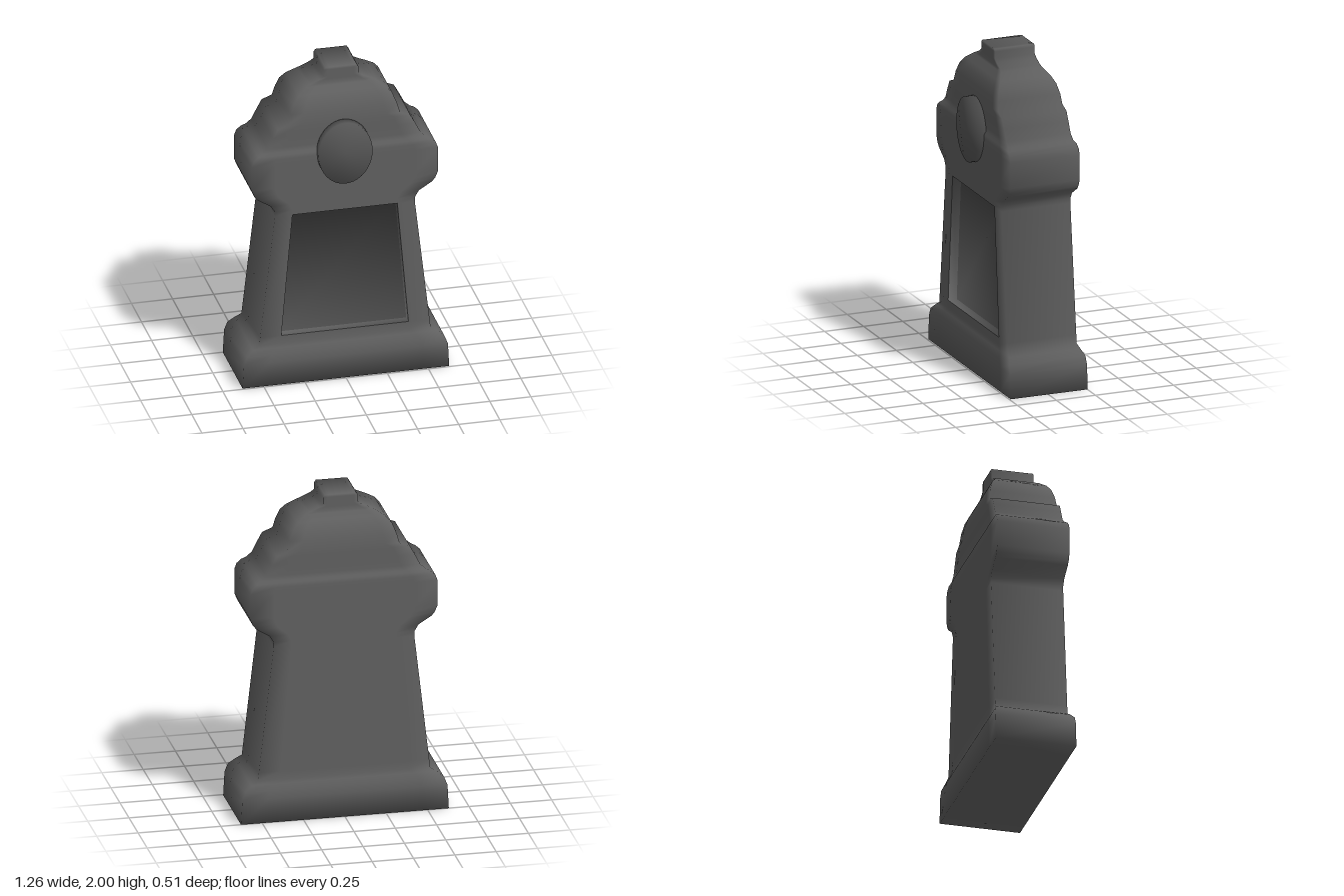
import * as THREE from 'three';
import { mergeVertices } from 'three/addons/utils/BufferGeometryUtils.js';

const INNER = 0.75;        // niche width as a share of the body width
const Z_SHIFT = -0.005;    // body sits slightly behind the medallion
const NICHE_LOW = 0.31, NICHE_HIGH = 1.1, NICHE_DEPTH = 0.055;

// Rectangular cross-sections: height, half width, half depth
const sections = [
  [0, 0.628, 0.246], [0.15, 0.62, 0.246], [0.2, 0.6, 0.244], [0.235, 0.56, 0.228],
  [0.258, 0.521, 0.221], [NICHE_LOW, 0.515, 0.221], [NICHE_HIGH, 0.425, 0.221],
  [1.13, 0.426, 0.221], [1.17, 0.45, 0.221], [1.22, 0.53, 0.221], [1.245, 0.55, 0.221],
  [1.285, 0.566, 0.221], [1.44, 0.566, 0.221], [1.475, 0.553, 0.221], [1.5, 0.525, 0.219],
  [1.515, 0.5, 0.208], [1.545, 0.465, 0.206], [1.61, 0.432, 0.206], [1.665, 0.402, 0.206],
  [1.69, 0.34, 0.205], [1.75, 0.323, 0.199], [1.81, 0.3, 0.183], [1.85, 0.266, 0.162],
  [1.888, 0.21, 0.133], [1.9, 0.185, 0.127], [1.925, 0.13, 0.127], [1.942, 0.105, 0.127],
  [1.985, 0.105, 0.127], [2, 0.095, 0.127],
];

// Quads with soft shading: every face counts equally at a shared corner
function smoothGeometry(points, quads) {
  const corners = points.map((p) => new THREE.Vector3(...p));
  const normals = points.map(() => new THREE.Vector3());
  for (const [a, b, c, d] of quads) {
    const across = corners[c].clone().sub(corners[a]);
    const normal = across.cross(corners[d].clone().sub(corners[b])).normalize();
    [a, b, c, d].forEach((i) => normals[i].add(normal));
  }
  const geometry = new THREE.BufferGeometry();
  geometry.setAttribute('position', new THREE.Float32BufferAttribute(points.flat(), 3));
  geometry.setAttribute('normal',
    new THREE.Float32BufferAttribute(normals.flatMap((n) => n.normalize().toArray()), 3));
  geometry.setIndex(quads.flatMap(([a, b, c, d]) => [a, b, c, a, c, d]));
  return geometry;
}

// Stone body: eight points per section, leaving the front opening free
function bodyGeometry() {
  const points = [], quads = [];
  sections.forEach(([y, w, d], row) => {
    const xs = [-w, -w * INNER, w * INNER, w];
    xs.forEach((x) => points.push([x, y, d + Z_SHIFT]));
    xs.reverse().forEach((x) => points.push([x, y, -d + Z_SHIFT]));
    if (row === sections.length - 1) return;
    for (let j = 0; j < 8; j++) {
      if (y === NICHE_LOW && j === 1) continue;
      const a = row * 8 + j, b = row * 8 + (j + 1) % 8;
      quads.push([a, b, b + 8, a + 8]);
    }
  });
  // Underside and top
  const top = (sections.length - 1) * 8;
  for (let k = 0; k < 3; k++) {
    quads.push([7 - k, 6 - k, k + 1, k]);
    quads.push([top + k, top + k + 1, top + 6 - k, top + 7 - k]);
  }
  return smoothGeometry(points, quads);
}

// Shallow recess: a back panel and four walls
function nicheGeometry() {
  const [low, high] = [NICHE_LOW, NICHE_HIGH].map((y) => sections.find((s) => s[0] === y));
  const wl = low[1] * INNER, wh = high[1] * INNER;
  const outline = [[-wl, NICHE_LOW], [wl, NICHE_LOW], [wh, NICHE_HIGH], [-wh, NICHE_HIGH]];
  const front = low[2] + Z_SHIFT;
  const points = [front, front - NICHE_DEPTH].flatMap((z) => outline.map(([x, y]) => [x, y, z]));
  const quads = [[4, 5, 6, 7]];
  for (let i = 0; i < 4; i++) {
    const n = (i + 1) % 4;
    quads.push([i, n, n + 4, i + 4]);
  }
  const geometry = smoothGeometry(points, quads);
  geometry.addGroup(0, 6, 0);   // panel
  geometry.addGroup(6, 24, 1);  // walls
  return geometry;
}

// Oval medallion: a disc with rim and face shaded as one
function medallionGeometry() {
  let geometry = new THREE.CylinderGeometry(1, 1, 1, 40);
  geometry.deleteAttribute('normal');
  geometry.deleteAttribute('uv');
  geometry = mergeVertices(geometry);
  geometry.rotateX(Math.PI / 2);
  geometry.scale(0.164, 0.2, 0.075);
  geometry.computeVertexNormals();
  return geometry;
}

export function createModel() {
  const group = new THREE.Group();
  group.name = 'gravestone';
  const stone = new THREE.MeshStandardMaterial({ color: 0x606060 });
  const panel = new THREE.MeshStandardMaterial({ color: 0x4c4c4c });
  const disc = new THREE.MeshStandardMaterial({ color: 0x565656 });
  const add = (name, geometry, material) => {
    const mesh = new THREE.Mesh(geometry, material);
    mesh.name = name;
    group.add(mesh);
    return mesh;
  };
  add('stoneBody', bodyGeometry(), stone);
  add('niche', nicheGeometry(), [panel, stone]);
  add('medallion', medallionGeometry(), disc).position.set(-0.005, 1.488, 0.2175);
  return group;
}
